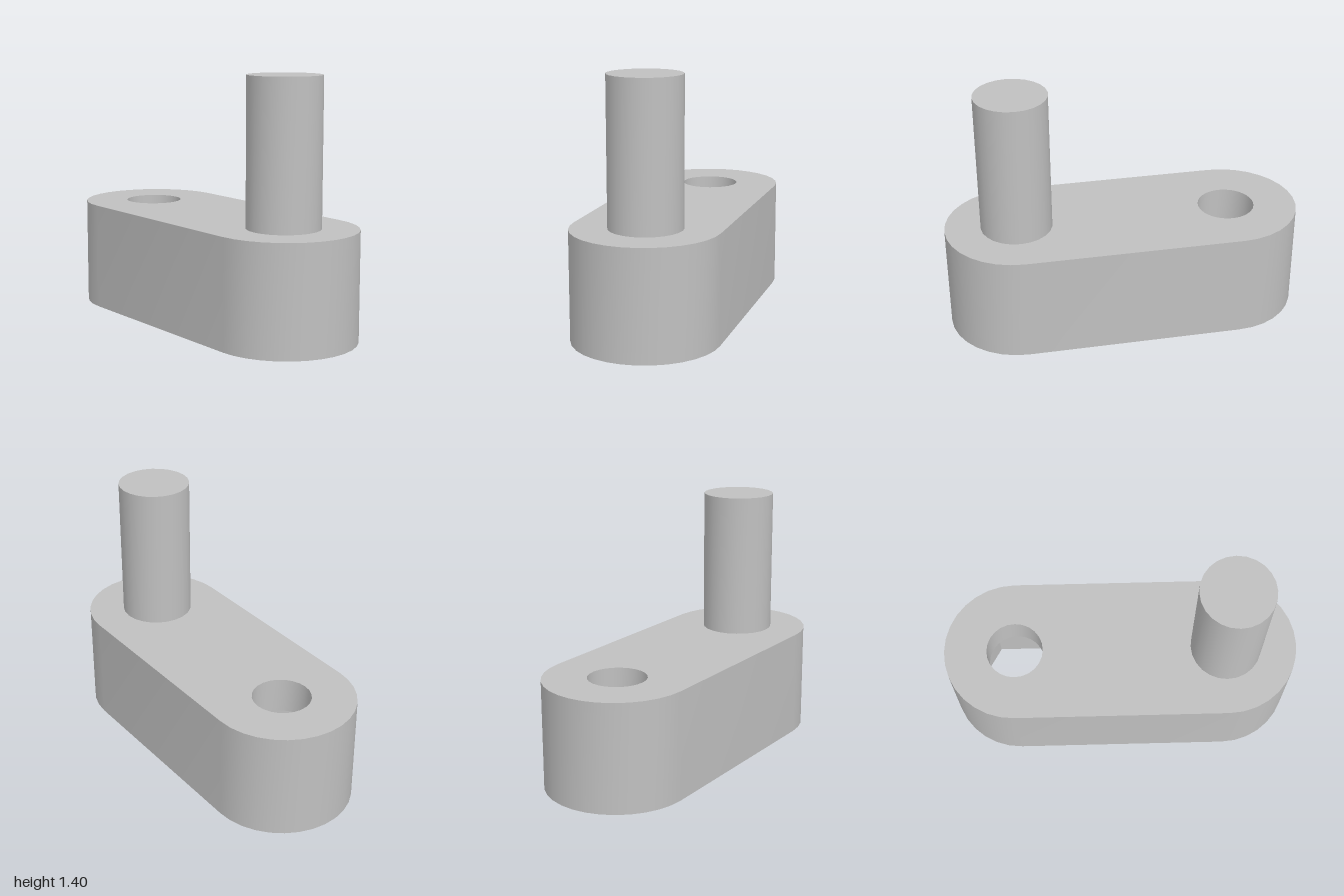
import * as THREE from 'three';
import { mergeGeometries, toCreasedNormals } from 'three/addons/utils/BufferGeometryUtils.js';

const HEIGHT = 0.6, POCKET = 0.4, PIN_X = 0.6, HOLE_X = -0.6;

// Points of a circle or regular polygon, counter-clockwise
function ring(cx, radius, sides) {
  return Array.from({ length: sides }, (_, i) => {
    const a = (i / sides) * Math.PI * 2;
    return new THREE.Vector2(cx + radius * Math.cos(a), radius * Math.sin(a));
  });
}

// Rounded-end outline of the link
function slot(half, radius, steps) {
  const pts = [];
  for (const [cx, start] of [[half, -Math.PI / 2], [-half, Math.PI / 2]]) {
    for (let i = 0; i <= steps; i++) {
      const a = start + (i / steps) * Math.PI;
      pts.push(new THREE.Vector2(cx + radius * Math.cos(a), radius * Math.sin(a)));
    }
  }
  return pts;
}

// Horizontal face with holes, facing up or down
function face(outline, holes, y, up) {
  const shape = new THREE.Shape(outline);
  holes.forEach((h) => shape.holes.push(new THREE.Path(h)));
  const g = new THREE.ShapeGeometry(shape).rotateX(up ? -Math.PI / 2 : Math.PI / 2).translate(0, y, 0).toNonIndexed();
  g.deleteAttribute('uv');
  return g;
}

// Vertical wall along a closed outline
function wall(outline, y0, y1, inward = false) {
  const pts = inward ? [...outline].reverse() : outline;
  const pos = [];
  pts.forEach((p, i) => {
    const q = pts[(i + 1) % pts.length];
    pos.push(p.x, y0, -p.y, q.x, y0, -q.y, q.x, y1, -q.y);
    pos.push(p.x, y0, -p.y, q.x, y1, -q.y, p.x, y1, -p.y);
  });
  const g = new THREE.BufferGeometry();
  g.setAttribute('position', new THREE.Float32BufferAttribute(pos, 3));
  g.computeVertexNormals();
  return g;
}

export function createModel() {
  const group = new THREE.Group();
  const grey = new THREE.MeshStandardMaterial({ color: 0xc0c0c0 });
  grey.name = 'grey';

  const add = (name, parts) => {
    const mesh = new THREE.Mesh(toCreasedNormals(mergeGeometries(parts), 0.6), grey);
    mesh.name = name;
    group.add(mesh);
  };

  const outline = slot(0.6, 0.4, 16);
  const bore = ring(HOLE_X, 0.16, 24);
  const hex = ring(HOLE_X, 0.26, 6);
  const socket = ring(PIN_X, 0.25, 32);

  // Link body
  add('linkBody', [
    wall(outline, 0, HEIGHT),
    face(outline, [bore], HEIGHT, true),
    face(outline, [hex, socket], 0, false),
  ]);

  // Through bore opening into a hexagonal pocket underneath
  add('boltHole', [wall(bore, POCKET, HEIGHT, true)]);
  add('hexPocket', [wall(hex, 0, POCKET, true), face(hex, [bore], POCKET, false)]);

  // Blind round socket beneath the pin
  add('pinSocket', [wall(socket, 0, POCKET, true), face(socket, [], POCKET, false)]);

  // Upright pin
  const pin = ring(PIN_X, 0.2, 24);
  add('pin', [wall(pin, HEIGHT, 1.4), face(pin, [], 1.4, true)]);

  return group;
}
